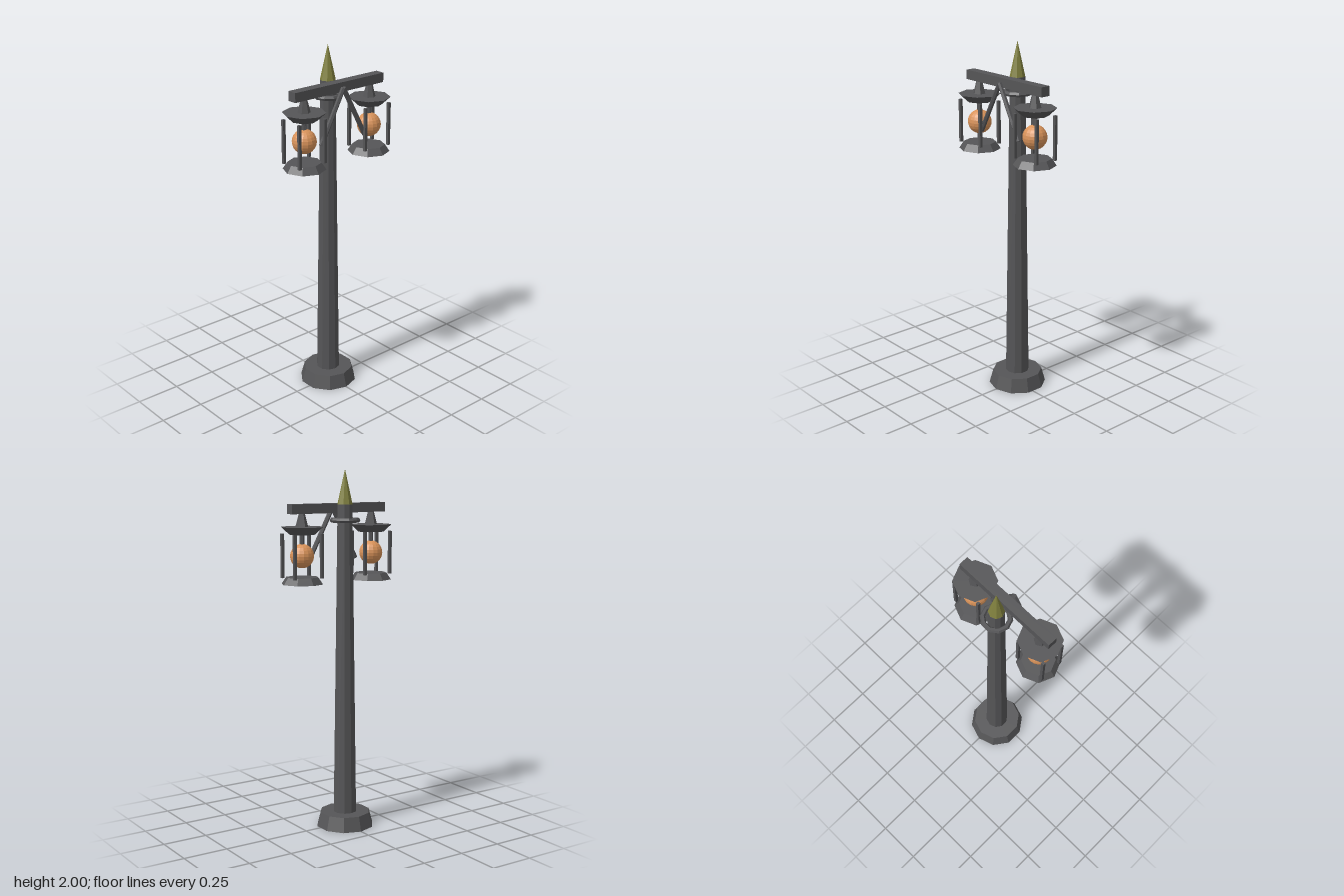
import * as THREE from 'three';

export function createModel() {
  const model = new THREE.Group();
  const flat = (name, color) => {
    const m = new THREE.MeshStandardMaterial({ color, flatShading: true });
    m.name = name;
    return m;
  };
  const iron = flat('dark iron', 0x555557);
  const olive = flat('olive green', 0x80803e);
  const glow = flat('warm orange', 0xd9935a);

  const add = (parent, name, geometry, material, x, y, z) => {
    const mesh = new THREE.Mesh(geometry, material);
    mesh.name = name;
    mesh.position.set(x, y, z);
    parent.add(mesh);
    return mesh;
  };
  // Tapered cylinder standing between two heights
  const post = (parent, name, rTop, rBottom, y0, y1, sides, x = 0, z = 0, material = iron) =>
    add(parent, name, new THREE.CylinderGeometry(rTop, rBottom, y1 - y0, sides), material, x, (y0 + y1) / 2, z);

  // Pole with foot, collar and finial
  const poleZ = -0.0165;
  post(model, 'foot', 0.141, 0.163, 0, 0.08, 10, 0, poleZ);
  post(model, 'pole', 0.042, 0.066, 0.08, 1.81, 10, 0, poleZ);
  post(model, 'finial', 0, 0.042, 1.81, 2, 8, 0, poleZ, olive);
  add(model, 'collar', new THREE.TorusGeometry(0.07, 0.014, 6, 10), iron, 0, 1.725, poleZ).rotation.x = Math.PI / 2;

  // Crossbar
  add(model, 'crossbar', new THREE.BoxGeometry(0.61, 0.052, 0.054), iron, 0, 1.788, 0.06);

  for (const side of [-1, 1]) {
    // Diagonal brace
    const top = new THREE.Vector3(0, 1.79, 0.108);
    const end = new THREE.Vector3(side * 0.153, 1.505, 0.108);
    const dir = end.clone().sub(top);
    const mid = top.clone().add(end).multiplyScalar(0.5);
    const brace = add(model, 'brace', new THREE.CylinderGeometry(0.013, 0.013, dir.length(), 6), iron, mid.x, mid.y, mid.z);
    brace.quaternion.setFromUnitVectors(new THREE.Vector3(0, 1, 0), dir.normalize());

    // Hanging lantern
    const lantern = new THREE.Group();
    lantern.name = 'lantern';
    lantern.position.set(side * 0.2275, 0, 0.061);
    post(lantern, 'hanger', 0.016, 0.035, 1.69, 1.766, 6);
    post(lantern, 'lanternRoof', 0.116, 0.072, 1.651, 1.692, 8);
    post(lantern, 'lampStem', 0.013, 0.013, 1.58, 1.655, 6);
    post(lantern, 'lanternFloor', 0.09, 0.116, 1.383, 1.421, 8);
    add(lantern, 'lampGlobe', new THREE.SphereGeometry(0.066, 16, 12), glow, 0, 1.535, 0);
    for (const x of [-0.085, 0.085])
      for (const z of [-0.065, 0.065])
        add(lantern, 'lanternPost', new THREE.BoxGeometry(0.016, 0.24, 0.016), iron, x, 1.535, z);
    model.add(lantern);
  }
  return model;
}
